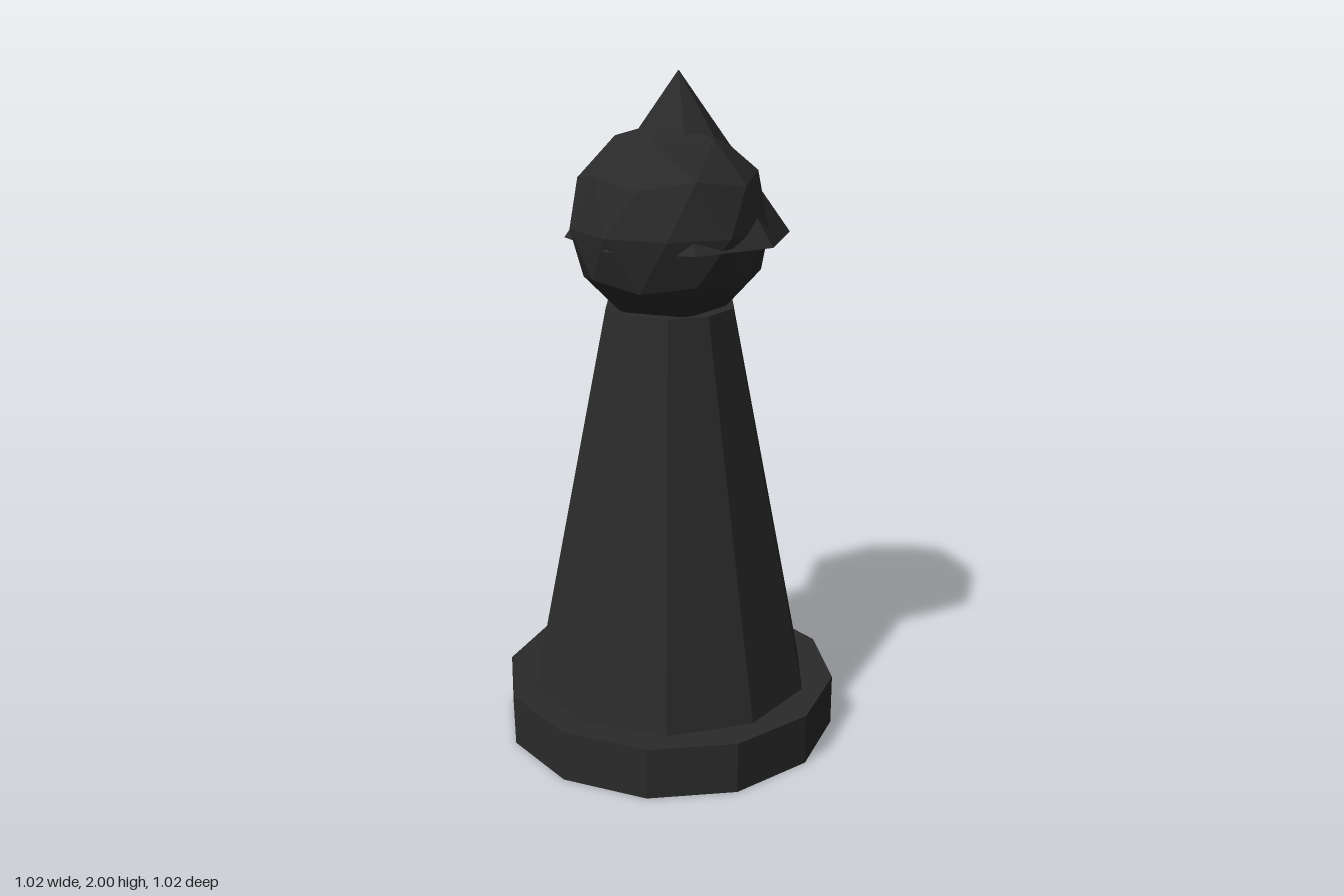
import * as THREE from 'three';

export function createModel() {
  const group = new THREE.Group();
  const charcoal = new THREE.MeshStandardMaterial({ color: 0x2a2a2a, flatShading: true });
  charcoal.name = 'charcoal';

  const add = (name, geometry, x, y, z) => {
    const mesh = new THREE.Mesh(geometry, charcoal);
    mesh.name = name;
    mesh.position.set(x, y, z);
    group.add(mesh);
  };

  // Twelve-sided foot
  add('base', new THREE.CylinderGeometry(0.51, 0.51, 0.157, 12), 0, 0.0785, 0);

  // Ten-sided tapering column
  add('body', new THREE.CylinderGeometry(0.193, 0.43, 1.178, 10), 0, 0.746, 0);

  // Faceted ball, turned so one corner points straight up
  const ball = new THREE.IcosahedronGeometry(0.295, 1);
  ball.rotateX(-Math.atan((1 + Math.sqrt(5)) / 2));
  ball.rotateY(Math.PI / 2);
  add('head', ball, 0, 1.57, 0);

  // Eight-sided pointed hood, set slightly back so the ball bulges through the front
  add('hood', new THREE.ConeGeometry(0.33, 0.467, 8), 0, 1.7665, -0.04);

  return group;
}
